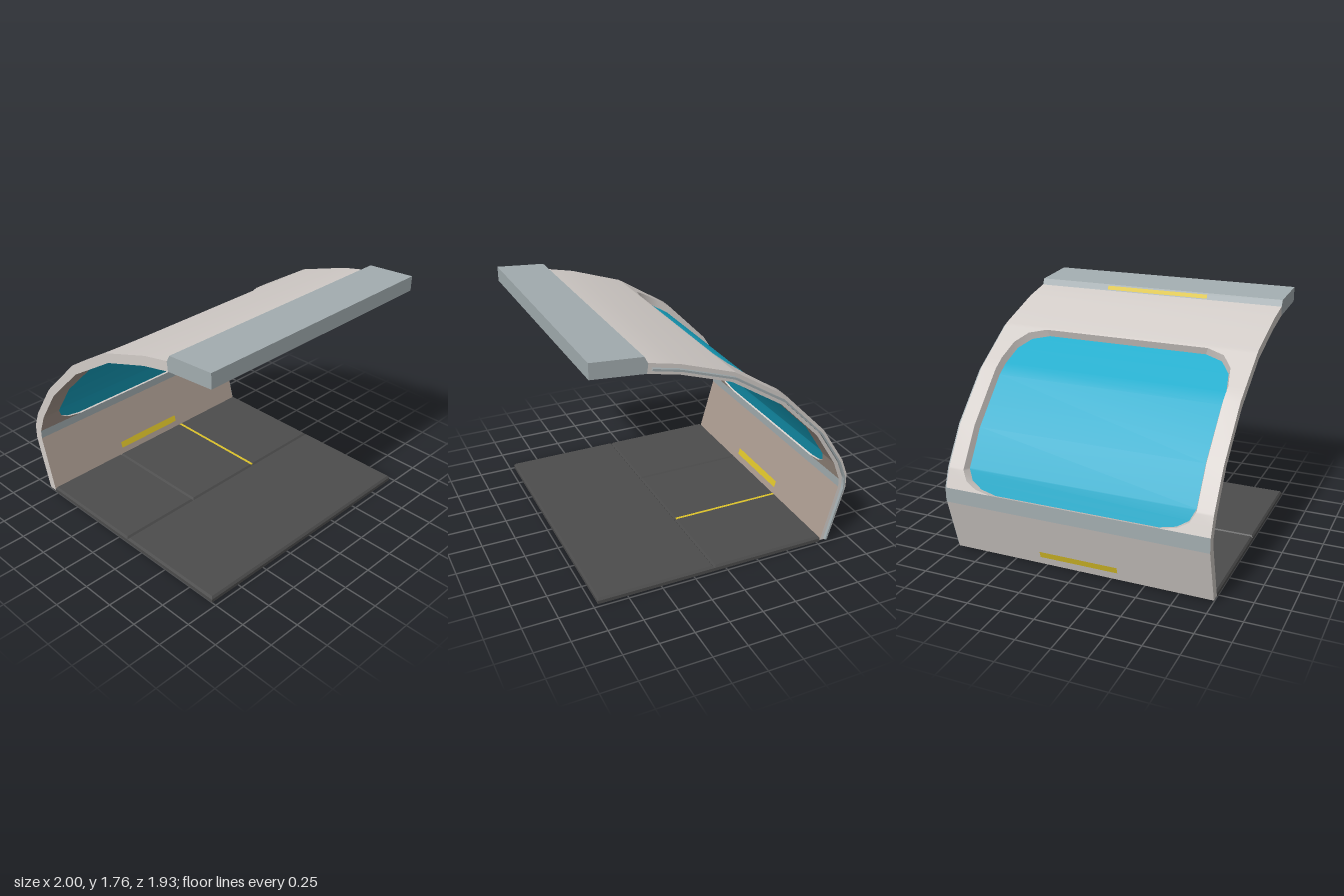
import * as THREE from 'three';

const X0 = -1, X1 = 0.975, XC = (X0 + X1) / 2, WIDTH = X1 - X0;
const BAND_TOP = 0.505, BAND_LOW = 0.44, WIN_TOP = 1.435;

// wall cross-section from roof to floor: inner z, inner y, outer z, outer y
const PROFILE = [
  [0.59, 1.62, 0.58, 1.69], [0.36, 1.57, 0.37, 1.645], [0, 1.45, -0.02, 1.515],
  [-0.38, 1.21, -0.41, 1.27], [-0.68, 0.91, -0.735, 0.94], [-0.845, 0.65, -0.915, 0.66],
  [-0.9, BAND_TOP, -0.965, 0.53], [-0.9, BAND_LOW, -0.965, 0.42], [-0.78, 0.01, -0.845, 0.01],
];
// half width of the window at given inner heights
const WINDOW = [
  [WIN_TOP, 0.61], [1.41, 0.74], [1.355, 0.8175], [1.27, 0.8475],
  [0.66, 0.8475], [0.58, 0.81], [0.53, 0.73], [BAND_TOP, 0.61],
];

// piecewise linear lookup in a table whose key column falls
function lookup(table, key, y, col) {
  if (y >= table[0][key]) return table[0][col];
  for (let i = 1; i < table.length; i++) {
    const a = table[i - 1], b = table[i];
    if (y >= b[key]) return a[col] + (b[col] - a[col]) * (a[key] - y) / (a[key] - b[key]);
  }
  return table[table.length - 1][col];
}
// point on the wall: f = 0 inside face, f = 1 outside face
function wallPoint(x, y, f) {
  const [zi, yi, zo, yo] = [0, 1, 2, 3].map((c) => lookup(PROFILE, 1, y, c));
  return [x, yi + (yo - yi) * f, zi + (zo - zi) * f];
}
const halfWindow = (y, f) => lookup(WINDOW, 0, y, 1) + 0.022 * f;

const heights = [...new Set([...PROFILE.map((p) => p[1]), ...WINDOW.map((w) => w[0])])].sort((a, b) => b - a);
const between = (top, low) => heights.filter((y) => y <= top && y >= low);

const paint = (color) => new THREE.MeshStandardMaterial({ color, side: THREE.DoubleSide });

// grid surface through rows of points, leaving out the cells that skip() names
function loft(rows, skip = () => false) {
  const n = rows[0].length, index = [];
  for (let i = 0; i < rows.length - 1; i++) {
    for (let j = 0; j < n - 1; j++) {
      if (skip(i, j)) continue;
      const a = i * n + j, b = a + n;
      index.push(a, a + 1, b, a + 1, b + 1, b);
    }
  }
  const g = new THREE.BufferGeometry();
  g.setAttribute('position', new THREE.Float32BufferAttribute(rows.flat(2), 3));
  g.setIndex(index);
  g.computeVertexNormals();
  return g;
}

// box whose upper edges are bevelled by moving the top corners inwards
function bevelledPlate(x0, x1, z0, z1, y0, y1, inset) {
  const w = x1 - x0, d = z1 - z0;
  const g = new THREE.BoxGeometry(w, y1 - y0, d);
  const p = g.attributes.position;
  for (let i = 0; i < p.count; i++) {
    if (p.getY(i) < 0) continue;
    p.setX(i, Math.sign(p.getX(i)) * (w / 2 - inset));
    p.setZ(i, Math.sign(p.getZ(i)) * (d / 2 - inset));
  }
  g.translate((x0 + x1) / 2, (y0 + y1) / 2, (z0 + z1) / 2);
  g.computeVertexNormals();
  return g;
}

export function createModel() {
  const model = new THREE.Group();
  const mat = {
    shell: paint(0xd3cdc9), lining: paint(0xab9b90), metal: paint(0xa3adb0),
    glass: paint(0x18abcb), floor: paint(0x4c4c4c), yellow: paint(0xdcc22a),
  };
  const add = (name, geometry, material) => {
    const mesh = new THREE.Mesh(geometry, material);
    mesh.name = name;
    model.add(mesh);
  };

  // curved wall faces, inside and outside, with the window left open
  for (const [side, f, material] of [['inner', 0, mat.lining], ['outer', 1, mat.shell]]) {
    const face = (ys) => loft(
      ys.map((y) => {
        const w = halfWindow(y, f);
        return [X0, XC - w, XC + w, X1].map((x) => wallPoint(x, y, f));
      }),
      (i, j) => j === 1 && ys[i] <= WIN_TOP && ys[i + 1] >= BAND_TOP,
    );
    add(side + 'UpperWall', face(between(2, BAND_TOP)), material);
    add(side + 'Band', face(between(BAND_TOP, BAND_LOW)), mat.metal);
    add(side + 'LowerWall', face(between(BAND_LOW, 0)), material);

    // yellow marker on the lower wall
    const off = f ? 1.06 : -0.06;
    add(side + 'WallMarker',
      loft([0.125, 0.075].map((y) => [-0.31, 0.285].map((x) => wallPoint(x, y, off)))), mat.yellow);
  }

  // wall side edges and foot
  for (const [name, x] of [['rightWallEdge', X0], ['leftWallEdge', X1]]) {
    add(name, loft(heights.map((y) => [0, 1].map((f) => wallPoint(x, y, f)))), mat.shell);
  }
  add('wallFoot', loft([0, 1].map((f) => [X0, X1].map((x) => wallPoint(x, 0.01, f)))), mat.shell);

  // thin joining tongue along the left edge
  const tongue = [[0.94, 0.4], [1, 0.4], [1, 0.6], [0.94, 0.6]];
  const tongueHeights = [1.615, ...between(1.6, 0.02), 0.02];
  for (let k = 0; k < 3; k++) {
    add('joiningTongue', loft(tongueHeights.map((y) =>
      [tongue[k], tongue[k + 1]].map(([x, f]) => wallPoint(x, y, f)))), mat.metal);
  }

  // window reveal and pane
  const winHeights = between(WIN_TOP, BAND_TOP);
  const edge = (sign) => (y) => [0, 1].map((f) => wallPoint(XC + sign * halfWindow(y, f), y, f));
  for (const sign of [-1, 1]) add('windowFrameSide', loft(winHeights.map(edge(sign))), mat.shell);
  for (const y of [WIN_TOP, BAND_TOP]) add('windowFrameEnd', loft([edge(-1)(y), edge(1)(y)]), mat.shell);
  add('windowPane', loft(winHeights.map((y) =>
    [-1, 1].map((s) => wallPoint(XC + s * halfWindow(y, 0.2), y, 0.2)))), mat.glass);

  // roof beam, drawn as a z-y section and extruded across the width
  const section = new THREE.Shape(
    [[0.965, 1.65], [0.965, 1.76], [0.605, 1.735], [0.58, 1.685], [0.59, 1.62]]
      .map(([z, y]) => new THREE.Vector2(z, y)));
  const beam = new THREE.ExtrudeGeometry(section, { depth: WIDTH, bevelEnabled: false });
  beam.rotateY(-Math.PI / 2).translate(X1, 0, 0);
  add('roofBeam', beam, mat.metal);

  // yellow markers on the beam's rear slope and underside
  add('beamRearMarker', loft([[1.725, 0.597], [1.697, 0.583]].map(([y, z]) =>
    [-0.42, 0.4].map((x) => [x, y, z]))), mat.yellow);
  add('beamUnderMarker', loft([[1.619, 0.62], [1.616, 0.595]].map(([y, z]) =>
    [-0.42, 0.4].map((x) => [x, y, z]))), mat.yellow);

  // floor slab with one front plate and three rear plates
  const zFront = 0.965, zSeam = 0.09, zBack = -0.78, slab = 0.025, top = 0.042;
  const base = new THREE.BoxGeometry(WIDTH, slab, zFront - zBack);
  base.translate(XC, slab / 2, (zFront + zBack) / 2);
  add('floorSlab', base, mat.floor);
  add('frontFloorPlate', bevelledPlate(X0, X1, zSeam, zFront, slab, top, 0.012), mat.floor);
  for (let i = 0; i < 3; i++) {
    const x = X0 + i * WIDTH / 3;
    add('rearFloorPlate', bevelledPlate(x, x + WIDTH / 3, zBack, zSeam, slab, top, 0.012), mat.floor);
  }
  // yellow line in the seam between two rear plates
  const line = new THREE.BoxGeometry(0.022, 0.014, zSeam - zBack - 0.02);
  line.translate(X0 + 2 * WIDTH / 3, 0.034, (zSeam + zBack) / 2);
  add('floorLine', line, mat.yellow);

  return model;
}
